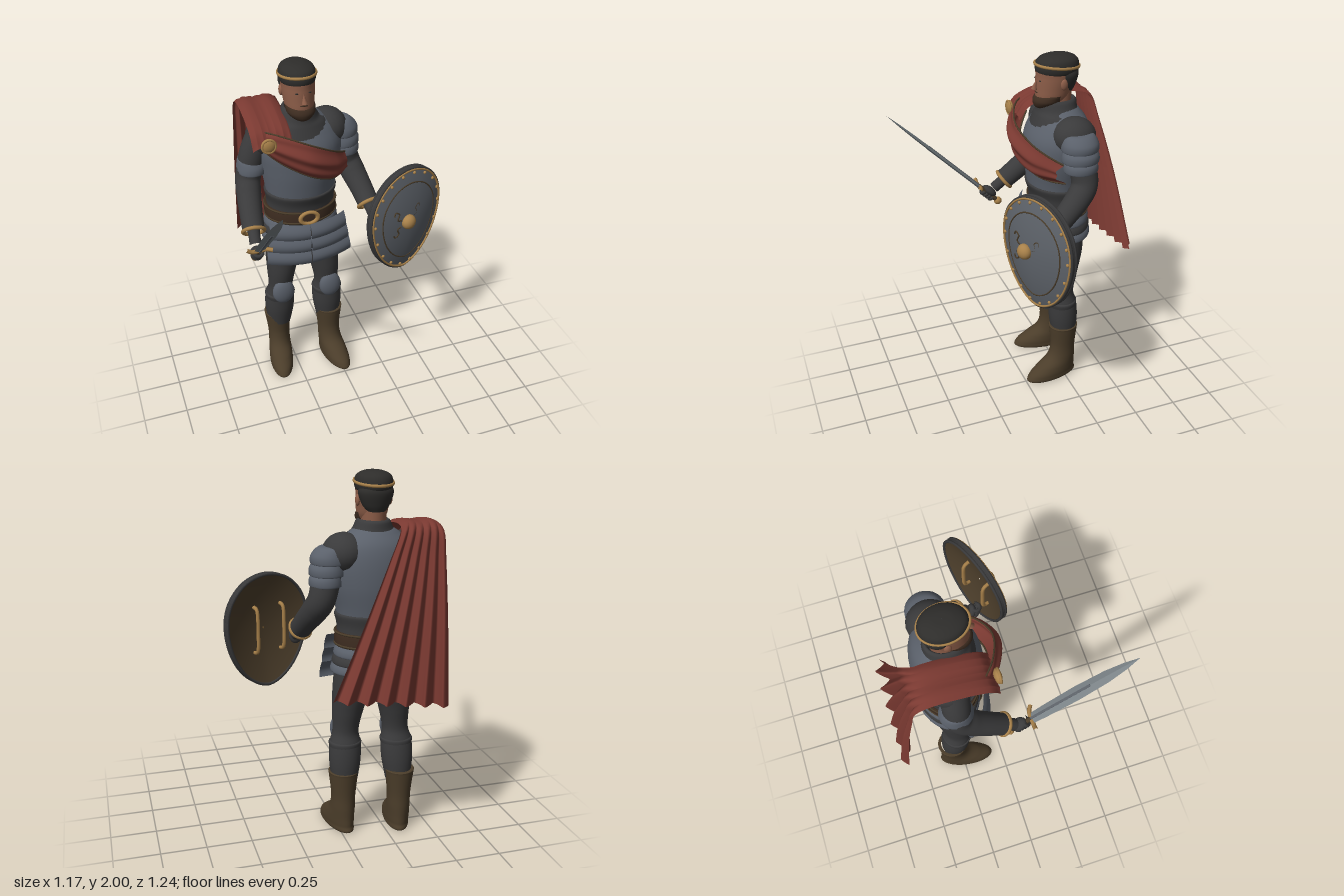
import * as THREE from 'three';
import { ParametricGeometry } from 'three/addons/geometries/ParametricGeometry.js';

const mat = (name, color, side = THREE.FrontSide) => {
  const m = new THREE.MeshStandardMaterial({ color, side });
  m.name = name;
  return m;
};
const V = (x, y, z) => new THREE.Vector3(x, y, z);
const lerp = THREE.MathUtils.lerp;
const CX = -0.18; // middle line of the body

export function createModel() {
  const dark = mat('blackened armour', 0x3a3a3b), steel = mat('steel', 0x5a606a, THREE.DoubleSide);
  const red = mat('red cloth', 0x7a3931, THREE.DoubleSide), gold = mat('gold', 0xa8814a);
  const skin = mat('skin', 0x8c5d48), leather = mat('brown leather', 0x4b3d2a);
  const hairMat = mat('hair', 0x2e2d2b), beardMat = mat('beard', 0x3d2c20);
  const bladeMat = mat('blade steel', 0x7a8286), shieldMat = mat('shield face', 0x5d6269);
  const root = new THREE.Group();
  root.name = 'armouredWarrior';

  const add = (name, geo, m, parent = root, p = [0, 0, 0], s = [1, 1, 1]) => {
    const mesh = new THREE.Mesh(geo, m);
    mesh.name = name;
    mesh.position.set(...p);
    mesh.scale.set(...s);
    parent.add(mesh);
    return mesh;
  };
  const group = (name, p = [0, 0, 0]) => {
    const g = new THREE.Group();
    g.name = name;
    g.position.set(...p);
    root.add(g);
    return g;
  };
  const surf = (fn, nu, nv) => new ParametricGeometry(fn, nu, nv);
  const ball = (name, m, p, s, parent = root) => add(name, new THREE.SphereGeometry(1, 20, 14), m, parent, p, s);
  const tube = (name, pts, r, m, parent = root, closed = false) =>
    add(name, new THREE.TubeGeometry(new THREE.CatmullRomCurve3(pts, closed), closed ? 64 : 24, r, 6, closed), m, parent);

  // Smooth skin over elliptical sections [x, y, z, rx, rz]; tilt sets rings square to the path
  const loft = (name, secs, m, { tilt = false, parent = root } = {}) => {
    const path = new THREE.CatmullRomCurve3(secs.map(s => V(s[0], s[1], s[2])), false, 'catmullrom');
    const size = new THREE.CatmullRomCurve3(secs.map(s => V(s[3], s[4] ?? s[3], 0)), false, 'catmullrom');
    return add(name, surf((u, v, t) => {
      const c = path.getPoint(v), r = size.getPoint(v), a = u * Math.PI * 2;
      const T = tilt ? path.getTangent(v) : V(0, 1, 0);
      const e2 = V(1, 0, 0).cross(T).normalize(), e1 = T.clone().cross(e2);
      t.copy(c).addScaledVector(e1, Math.sin(a) * r.x).addScaledVector(e2, Math.cos(a) * r.y);
      t.y = Math.max(t.y, 0);
    }, 28, secs.length * 5), m, parent);
  };

  // Torso, collar and waist
  loft('breastplate', [[CX, 1.2, -0.25, 0.185, 0.155], [CX, 1.3, -0.25, 0.2, 0.17], [-0.175, 1.42, -0.25, 0.222, 0.183],
    [-0.175, 1.54, -0.25, 0.232, 0.18], [-0.175, 1.63, -0.26, 0.2, 0.15], [-0.178, 1.69, -0.26, 0.13, 0.11], [-0.178, 1.72, -0.255, 0.08, 0.08]], steel);
  loft('gorget', [[-0.178, 1.61, -0.25, 0.19, 0.15], [-0.178, 1.67, -0.25, 0.15, 0.13], [-0.178, 1.7, -0.245, 0.11, 0.115],
    [-0.178, 1.745, -0.245, 0.086, 0.108], [-0.178, 1.75, -0.245, 0.07, 0.09], [-0.178, 1.7, -0.245, 0.06, 0.08]], dark);
  loft('waistPlate', [[CX, 1.06, -0.26, 0.19, 0.15], [CX, 1.1, -0.26, 0.196, 0.157], [CX, 1.2, -0.255, 0.194, 0.16],
    [CX, 1.265, -0.25, 0.205, 0.174], [CX, 1.27, -0.25, 0.18, 0.15]], dark);
  loft('pelvis', [[CX, 0.84, -0.26, 0.02, 0.05], [CX, 0.87, -0.26, 0.12, 0.11], [CX, 0.95, -0.265, 0.19, 0.145], [CX, 1.1, -0.26, 0.19, 0.15]], dark);
  loft('belt', [[CX, 1.1, -0.26, 0.19, 0.15], [CX, 1.1, -0.26, 0.206, 0.168], [CX, 1.17, -0.26, 0.204, 0.166], [CX, 1.17, -0.26, 0.18, 0.15]], beardMat);
  for (const y of [1.105, 1.17]) {
    const ring = add('beltEdge', new THREE.TorusGeometry(1, 0.025, 6, 48), leather, root, [CX, y, -0.26], [0.206, 0.168, 0.25]);
    ring.rotation.x = Math.PI / 2;
  }
  add('buckle', new THREE.TorusGeometry(0.042, 0.011, 8, 28), gold, root, [CX, 1.14, -0.085], [1.2, 0.85, 1]);
  for (let i = 0; i < 3; i++) {
    const y = 1.09 - i * 0.045, r = 0.207 + i * 0.009;
    loft('hipBand', [[CX, y - 0.048, -0.265, r - 0.015, 0.15], [CX, y - 0.046, -0.265, r + 0.006, 0.166 + i * 0.004],
      [CX, y - 0.02, -0.265, r + 0.004, 0.166 + i * 0.004], [CX, y + 0.01, -0.265, r - 0.012, 0.15]], i === 1 ? dark : steel);
  }

  // Overlapping skirt plates in front of the hips
  for (const s of [-1, 1]) for (let i = 0; i < 3; i++) {
    add('skirtPlate', surf((u, v, t) => {
      const w = 0.215 + 0.012 * i + 0.008 * v, k = 0.003 + u * w;
      t.set(CX + s * k, 1.105 - i * 0.079 - v * 0.092 + 0.012 * u * u,
        -0.075 + 0.026 * Math.sin(v * Math.PI * 0.8) - 0.055 * u * u + 0.004 * i);
    }, 14, 8), steel);
  }

  // Legs, knee caps and boots; the right leg stands slightly further back
  for (const s of [1, -1]) {
    const side = s > 0 ? 'left' : 'right';
    const place = ([x, y, z, rx, rz]) => [CX + s * (x - CX), y, z - (s < 0 ? 0.055 * Math.max(0, 1 - y) : 0), rx, rz];
    loft(side + 'Leg', [[-0.03, 0.3, -0.255, 0.07, 0.072], [-0.033, 0.42, -0.25, 0.087, 0.085], [-0.036, 0.52, -0.245, 0.087, 0.083],
      [-0.04, 0.6, -0.235, 0.072, 0.075], [-0.05, 0.72, -0.24, 0.085, 0.095], [-0.068, 0.85, -0.255, 0.104, 0.112], [-0.08, 0.98, -0.26, 0.105, 0.12]].map(place), dark);
    loft(side + 'GreaveTop', [[-0.035, 0.5, -0.245, 0.086, 0.082], [-0.036, 0.535, -0.242, 0.09, 0.086], [-0.038, 0.545, -0.242, 0.07, 0.07]].map(place), dark);
    const k = place([-0.038, 0.585, -0.165, 0, 0]);
    ball(side + 'KneeCap', steel, k.slice(0, 3), [0.066, 0.083, 0.035]);
    const boot = group(side + 'Boot', place([-0.025, 0, -0.25]).slice(0, 3));
    boot.rotation.y = s * 0.16;
    loft('bootBody', [[0, 0, 0.08, 0.002, 0.01], [0, 0.002, 0.08, 0.062, 0.155], [0, 0.04, 0.078, 0.071, 0.157], [0, 0.085, 0.05, 0.07, 0.128],
      [0, 0.14, 0.012, 0.066, 0.09], [0, 0.22, 0, 0.066, 0.077], [0, 0.34, 0, 0.08, 0.086], [0, 0.36, 0, 0.082, 0.087], [0, 0.362, 0, 0.066, 0.07]], leather, { parent: boot });
  }

  // Arms with flared bracers and gold cuffs
  const arms = {
    left: [[0, 1.62, -0.27, 0.08], [0.075, 1.48, -0.285, 0.076], [0.11, 1.36, -0.295, 0.073], [0.135, 1.29, -0.25, 0.07], [0.16, 1.215, -0.17, 0.063], [0.175, 1.155, -0.1, 0.06]],
    right: [[-0.37, 1.62, -0.27, 0.08], [-0.43, 1.5, -0.275, 0.073], [-0.465, 1.36, -0.275, 0.07], [-0.48, 1.29, -0.22, 0.068], [-0.495, 1.215, -0.13, 0.063], [-0.505, 1.15, -0.05, 0.06]],
  };
  for (const [side, a] of Object.entries(arms)) {
    loft(side + 'Arm', a, dark, { tilt: true });
    const w = V(...a[5]), d = V(...a[5]).sub(V(...a[4])).normalize();
    const cuff = add(side + 'Cuff', new THREE.TorusGeometry(0.058, 0.011, 8, 28), gold, root, a[5]);
    cuff.quaternion.setFromUnitVectors(V(0, 0, 1), d);
    const e = w.clone().addScaledVector(d, 0.08);
    loft(side + 'Wrist', [[w.x, w.y, w.z, 0.055], [w.x, w.y, w.z, 0.034], [e.x, e.y, e.z, 0.032]], dark, { tilt: true });
    ball(side + 'Shoulder', dark, [side === 'left' ? -0.01 : -0.35, 1.59, -0.277], [0.112, 0.105, 0.122]);
  }
  // Shoulder lames
  const lame = (name, x, y, rx, rz) => loft(name, [[x, y - 0.042, -0.28, rx - 0.012, rz - 0.012], [x, y - 0.04, -0.28, rx + 0.003, rz + 0.003],
    [x, y, -0.28, rx, rz], [x - 0.015, y + 0.04, -0.28, rx - 0.025, rz - 0.025], [x - 0.02, y + 0.045, -0.28, 0.02, 0.02]], steel);
  [[0.068, 1.585, 0.093, 0.1], [0.078, 1.525, 0.09, 0.1], [0.085, 1.47, 0.083, 0.092]].forEach(l => lame('leftShoulderLame', ...l));
  lame('rightArmBand', -0.442, 1.435, 0.08, 0.086);

  // Head with short hair, beard and circlet
  loft('neck', [[-0.178, 1.66, -0.25, 0.065, 0.068], [-0.178, 1.82, -0.25, 0.064, 0.08]], skin);
  loft('face', [[-0.178, 1.71, -0.2, 0.01, 0.02], [-0.178, 1.725, -0.2, 0.05, 0.07], [-0.178, 1.77, -0.215, 0.075, 0.092], [-0.178, 1.82, -0.225, 0.083, 0.102],
    [-0.178, 1.88, -0.238, 0.088, 0.114], [-0.178, 1.94, -0.24, 0.086, 0.11], [-0.178, 1.98, -0.24, 0.05, 0.06]], skin);
  loft('beard', [[-0.178, 1.705, -0.19, 0.01, 0.02], [-0.178, 1.715, -0.185, 0.045, 0.062], [-0.178, 1.745, -0.188, 0.074, 0.08],
    [-0.178, 1.77, -0.2, 0.08, 0.085], [-0.178, 1.785, -0.215, 0.08, 0.08]], beardMat);
  loft('hairTop', [[-0.178, 1.89, -0.243, 0.075, 0.09], [-0.178, 1.905, -0.243, 0.092, 0.116], [-0.178, 1.94, -0.243, 0.097, 0.122],
    [-0.178, 1.975, -0.243, 0.085, 0.106], [-0.178, 1.995, -0.245, 0.045, 0.06], [-0.178, 2, -0.245, 0.001, 0.001]], hairMat);
  loft('hairBack', [[-0.178, 1.795, -0.28, 0.05, 0.05], [-0.178, 1.83, -0.28, 0.073, 0.065], [-0.178, 1.89, -0.28, 0.092, 0.08], [-0.178, 1.93, -0.27, 0.08, 0.08]], hairMat);
  const circlet = add('circlet', new THREE.TorusGeometry(1, 0.055, 8, 48), gold, root, [-0.178, 1.94, -0.243], [0.099, 0.124, 0.15]);
  circlet.rotation.x = Math.PI / 2 - 0.1;
  const nose = add('nose', new THREE.ConeGeometry(0.017, 0.055, 8), skin, root, [-0.178, 1.843, -0.119]);
  nose.rotation.x = -0.25;
  ball('mouth', beardMat, [-0.178, 1.8, -0.124], [0.022, 0.004, 0.005]);
  for (const s of [-1, 1]) {
    ball('ear', skin, [-0.178 + s * 0.087, 1.85, -0.25], [0.012, 0.03, 0.02]);
    ball('eye', hairMat, [-0.178 + s * 0.034, 1.868, -0.133], [0.01, 0.004, 0.005]);
  }

  // Cape: laid over the right shoulder, fanning out down the back
  const drop = new THREE.CatmullRomCurve3([V(0, 1.635, -0.06), V(0, 1.7, -0.11), V(0, 1.75, -0.25), V(0, 1.76, -0.41), V(0, 1.725, -0.475), V(0, 1.58, -0.505), V(0, 1.25, -0.55), V(0, 0.82, -0.585)]);
  add('cape', surf((u, v, t) => {
    drop.getPointAt(v, t);
    const s = THREE.MathUtils.clamp((v - 0.3) / 0.7, 0, 1), fold = Math.abs(Math.sin(u * Math.PI * 6 + 0.5)) - 0.5;
    t.x = lerp(lerp(-0.475, -0.262, u), lerp(-0.49, 0.13, u), s) + 0.012 * s * Math.sin(u * 38);
    t.z -= (0.004 + 0.065 * Math.pow(s, 0.6)) * fold;
    t.y += 0.08 * u * s + (1 - s) * (0.006 * Math.sin(u * Math.PI * 3) - 0.02 * Math.pow(2 * u - 1, 2));
  }, 84, 48), red);
  // Sash across the chest
  const sashPath = new THREE.CatmullRomCurve3([V(-0.43, 1.645, -0.11), V(-0.34, 1.605, -0.03), V(-0.18, 1.53, 0.026), V(-0.03, 1.45, -0.03), V(0.065, 1.405, -0.145)]);
  const sashAt = (u, v, t) => {
    sashPath.getPoint(u, t);
    const h = 0.045 + 0.05 * Math.sin(u * Math.PI) + 0.01 * u;
    t.y += h * (1 - 2 * v);
    t.z += 0.007 * Math.sin(v * 15 + u * 4) - 0.05 * Math.pow(2 * v - 0.9, 2);
    return t;
  };
  add('sash', surf(sashAt, 40, 24), red);
  for (const v of [0, 1]) tube('sashTrim', [0, 0.15, 0.3, 0.5, 0.7, 0.85, 1].map(u => sashAt(u, v, V(0, 0, 0))), 0.005, leather);
  ball('brooch', gold, [-0.395, 1.645, -0.052], [0.04, 0.04, 0.02]);
  add('broochRing', new THREE.TorusGeometry(0.036, 0.007, 8, 24), gold, root, [-0.395, 1.645, -0.045]);

  // Sword, pointing forward and up
  const sword = group('sword', [-0.515, 1.125, 0.105]);
  sword.rotation.x = Math.PI / 4;
  const bladeGeo = new THREE.LatheGeometry([[0.029, 0], [0.033, 0.1], [0.037, 0.32], [0.031, 0.52], [0.018, 0.64], [0, 0.735]].map(p => new THREE.Vector2(...p)), 4).toNonIndexed();
  bladeGeo.computeVertexNormals();
  add('blade', bladeGeo, bladeMat, sword, [0, 0, 0], [1, 1, 0.3]);
  add('fuller', new THREE.BoxGeometry(0.013, 0.42, 0.022), shieldMat, sword, [0, 0.21, 0]);
  tube('guard', [V(-0.07, 0.012, -0.012), V(-0.04, 0, 0), V(0.04, 0, 0), V(0.07, 0.012, 0.012)], 0.012, gold, sword);
  add('grip', new THREE.CylinderGeometry(0.014, 0.014, 0.15, 12), leather, sword, [0, -0.075, 0]);
  ball('pommel', gold, [0, -0.165, 0], [0.024, 0.024, 0.024], sword);

  // Gloved hands
  const hand = (name, p, tiltX) => {
    const g = group(name, p);
    g.rotation.x = tiltX;
    ball('palm', dark, [0, 0, -0.018], [0.036, 0.048, 0.024], g);
    for (let i = 0; i < 4; i++) {
      const f = add('finger', new THREE.TorusGeometry(0.023, 0.011, 8, 16, 5), dark, g, [0, 0.034 - i * 0.022, 0]);
      f.rotation.x = Math.PI / 2;
    }
  };
  hand('rightHand', [-0.515, 1.07, 0.05], Math.PI / 4);
  hand('leftHand', [0.182, 1.09, 0.008], 0.2);

  // Shield: domed face, deep rim, studs, boss and back straps
  const shield = group('shield', [0.33, 1.12, 0.062]);
  shield.rotation.y = 0.37;
  const outline = new THREE.CatmullRomCurve3([[0.254, 0.04], [0.226, 0.17], [0.132, 0.272], [0, 0.308], [-0.132, 0.272], [-0.226, 0.17], [-0.254, 0.04],
    [-0.212, -0.14], [-0.118, -0.265], [0, -0.317], [0.118, -0.265], [0.212, -0.14]].map(p => V(p[0], p[1], 0)), true);
  const at = (u, r, dz = 0, t = V(0, 0, 0)) => {
    outline.getPoint(u % 1, t).multiplyScalar(r);
    t.z = 0.05 * (1 - r * r) + dz;
    return t;
  };
  const loop = (r, dz) => Array.from({ length: 32 }, (_, i) => at(i / 32, r, dz));
  add('shieldFace', surf((u, v, t) => at(u, 1 - 0.98 * v, 0.008, t), 56, 12), shieldMat, shield);
  add('shieldBack', surf((u, v, t) => at(u, 0.02 + 0.98 * v, -0.022, t), 56, 12), leather, shield);
  add('shieldEdge', surf((u, v, t) => at(u, 1.02, -0.026 + 0.036 * v, t), 56, 2), dark, shield);
  for (const dz of [-0.02, 0.006]) tube('shieldRim', loop(1.005, dz), 0.009, dark, shield, true);
  tube('rimTrim', loop(0.985, 0.013), 0.006, gold, shield, true);
  tube('innerRing', loop(0.76, 0.008), 0.004, leather, shield, true);
  for (let i = 0; i < 18; i++) ball('stud', gold, at(i / 18, 0.93, 0.011).toArray(), [0.009, 0.009, 0.008], shield);
  const bx = -0.032;
  ball('boss', gold, [bx, 0.02, 0.065], [0.043, 0.043, 0.035], shield);
  for (const sx of [-1, 1]) for (const sy of [-1, 1]) {
    tube('scroll', [[0.045, 0.02], [0.07, 0.03], [0.06, 0.065], [0.085, 0.08], [0.095, 0.06]].map(([x, y]) => V(bx + sx * x, 0.02 + sy * y, 0.055 - 0.5 * (x * x + y * y))), 0.004, leather, shield);
  }
  for (const x of [-0.1, 0.07]) {
    tube('strap', [V(x, 0.13, 0.01), V(x, 0.12, -0.02), V(x, 0, -0.03), V(x, -0.12, -0.02), V(x, -0.13, 0.01)], 0.011, gold, shield);
  }
  return root;
}
